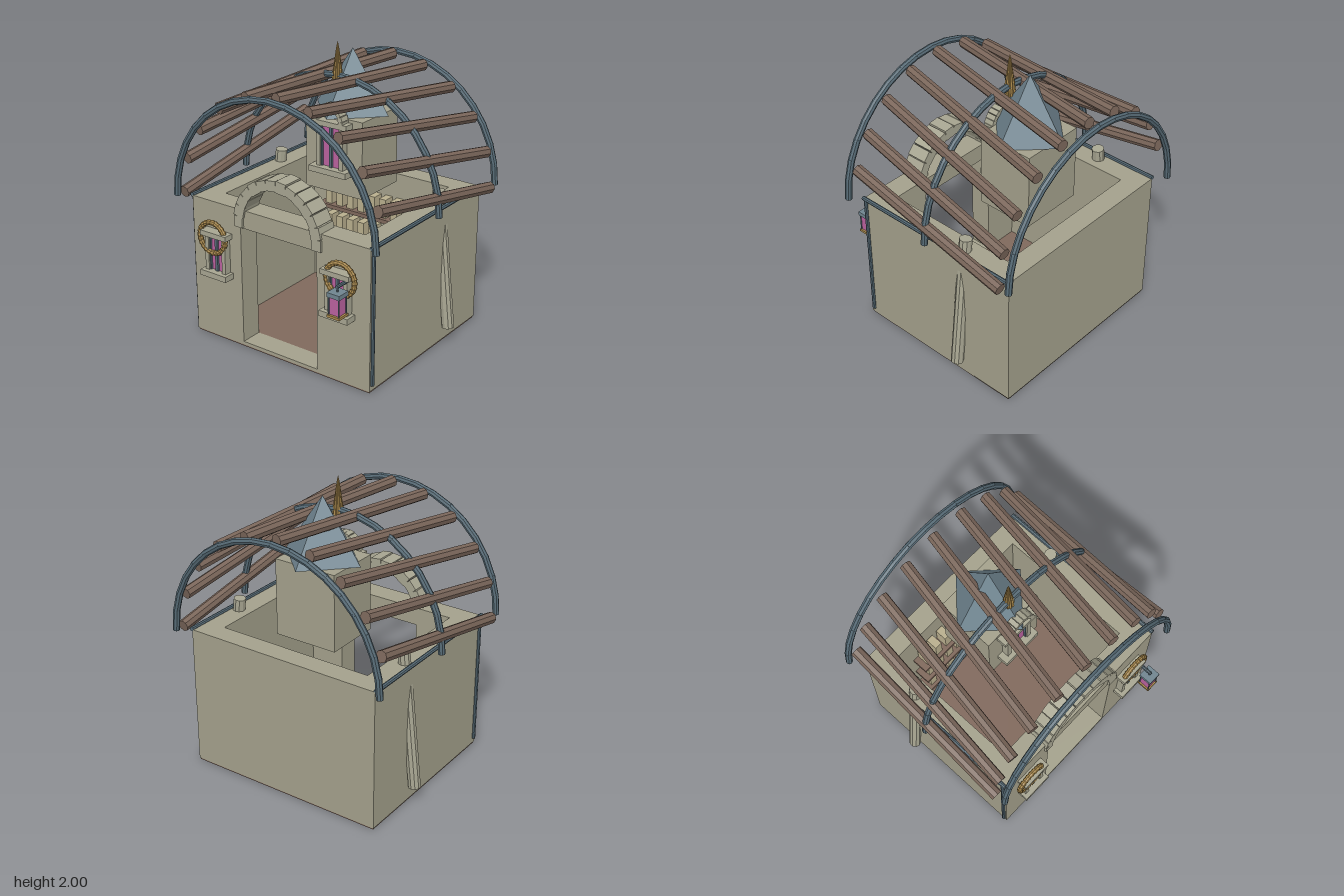
import * as THREE from 'three';

const mat = (color) => new THREE.MeshStandardMaterial({ color, flatShading: true });
const M = {
  wall: mat(0xa4a18c), stone: mat(0xa8a692), wood: mat(0x80695c), log: mat(0x7a665a),
  steel: mat(0x566a75), slate: mat(0x708590), gold: mat(0xa8884c), glass: mat(0xbb62a0), book: mat(0xb9af8e),
};

function add(parent, name, geo, material, x = 0, y = 0, z = 0) {
  const m = new THREE.Mesh(geo, material);
  m.name = name;
  m.position.set(x, y, z);
  parent.add(m);
  return m;
}

// box given by its limits on each axis
function box(parent, name, material, x0, x1, y0, y1, z0, z1) {
  return add(parent, name, new THREE.BoxGeometry(x1 - x0, y1 - y0, z1 - z0), material,
    (x0 + x1) / 2, (y0 + y1) / 2, (z0 + z1) / 2);
}

// straight round bar between two points
function bar(parent, name, material, a, b, r, sides = 8) {
  const p = new THREE.Vector3(...a), q = new THREE.Vector3(...b), d = q.clone().sub(p);
  const m = add(parent, name, new THREE.CylinderGeometry(r, r, d.length(), sides), material);
  m.position.copy(p).add(q).multiplyScalar(0.5);
  m.quaternion.setFromUnitVectors(new THREE.Vector3(0, 1, 0), d.normalize());
  return m;
}

// half ring of wedge-like stones
function stoneArch(parent, name, cy, z, radius, thick, depth, count) {
  const g = new THREE.Group();
  g.name = name;
  for (let i = 0; i < count; i++) {
    const a = (Math.PI * i) / (count - 1);
    const len = (Math.PI * radius) / (count - 1);
    const vary = 1 + 0.1 * Math.sin(i * 2.3);
    const s = add(g, 'archStone', new THREE.BoxGeometry(thick * vary, len * 1.02, depth), M.stone,
      radius * Math.cos(a), cy + radius * Math.sin(a), z);
    s.rotation.z = a;
  }
  parent.add(g);
}

// framed window with sill, lintel, jambs, panes and mullions; z is the wall face
function windowUnit(parent, x, y0, y1, z, half, sillHalf) {
  const g = new THREE.Group();
  g.name = 'window';
  g.position.set(x, 0, z);
  box(g, 'sill', M.stone, -sillHalf, sillHalf, y0 - 0.04, y0, -0.02, 0.08);
  box(g, 'lintel', M.stone, -sillHalf, sillHalf, y1, y1 + 0.035, -0.02, 0.07);
  box(g, 'pane', M.glass, -half, half, y0, y1, -0.02, 0.025);
  for (const s of [-1, 1]) {
    const c = s * (half + 0.015);
    box(g, 'jamb', M.stone, c - 0.015, c + 0.015, y0, y1, -0.02, 0.05);
    box(g, 'frameStile', M.steel, s * half - 0.008, s * half + 0.008, y0, y1, 0, 0.04);
  }
  box(g, 'mullion', M.steel, -0.01, 0.01, y0, y1, 0, 0.04);
  box(g, 'frameRail', M.steel, -half, half, y1 - 0.014, y1, 0, 0.035);
  parent.add(g);
}

export function createModel() {
  const root = new THREE.Group();
  root.name = 'workshop';

  // floor and walls
  box(root, 'baseSlab', M.wood, -0.705, 0.705, 0, 0.02, -0.675, 0.575);
  box(root, 'floor', M.wood, -0.56, 0.56, 0.015, 0.035, -0.54, 0.43);
  box(root, 'backWall', M.wall, -0.71, 0.71, 0.012, 0.985, -0.68, -0.535);
  for (const s of [-1, 1]) {
    const side = box(root, 'sideWall', M.wall, -0.075, 0.075, 0.012, 0.985, -0.535, 0.425);
    side.position.x = s * 0.635;
  }
  const front = new THREE.Shape();
  front.moveTo(-0.71, 0.012).lineTo(0.71, 0.012).lineTo(0.71, 0.985).lineTo(-0.71, 0.985).closePath();
  const door = new THREE.Path();
  door.moveTo(-0.305, 0.035).lineTo(-0.305, 0.86).lineTo(0.305, 0.86).lineTo(0.305, 0.035).closePath();
  front.holes.push(door);
  add(root, 'frontWall', new THREE.ExtrudeGeometry(front, { depth: 0.155, bevelEnabled: false }), M.wall, 0, 0, 0.425);
  stoneArch(root, 'doorArch', 0.905, 0.52, 0.31, 0.072, 0.15, 14);

  // shelves with books along the back wall
  for (const y of [0.205, 0.425, 0.645]) {
    box(root, 'shelf', M.wood, -0.435, 0.435, y, y + 0.028, -0.535, -0.42);
    for (let i = -4; i <= 4; i++) {
      box(root, 'book', M.book, i * 0.091 - 0.027, i * 0.091 + 0.027, y + 0.028, y + 0.165, -0.53, -0.445);
    }
  }

  // tower with pyramid roof and window
  box(root, 'tower', M.wall, -0.225, 0.225, 0.985, 1.51, -0.41, -0.01);
  add(root, 'towerRoof', new THREE.ConeGeometry(0.287, 0.41, 4), M.slate, 0, 1.715, -0.215);
  windowUnit(root, 0, 1.17, 1.455, -0.01, 0.075, 0.148);
  stoneArch(root, 'towerWindowArch', 1.49, 0.025, 0.1, 0.03, 0.07, 11);

  for (const s of [-1, 1]) {
    // front windows with rope rings
    windowUnit(root, s * 0.487, 0.515, 0.76, 0.58, 0.055, 0.108);
    const ring = new THREE.TorusGeometry(0.107, 0.018, 8, 48);
    const p = ring.attributes.position;
    for (let i = 0; i < p.count; i++) {
      const a = Math.atan2(p.getY(i), p.getX(i));
      const cx = 0.107 * Math.cos(a), cy = 0.107 * Math.sin(a);
      const k = 1 + 0.12 * Math.cos(a * 24);
      p.setXYZ(i, cx + (p.getX(i) - cx) * k, cy + (p.getY(i) - cy) * k, p.getZ(i) * k);
    }
    add(root, 'ropeRing', ring, M.gold, s * 0.513, 0.747, 0.62);

    // pipes on the front corners and wall tops
    bar(root, 'cornerPipe', M.steel, [s * 0.715, 0.05, 0.557], [s * 0.715, 0.985, 0.557], 0.013);
    bar(root, 'edgePipe', M.steel, [s * 0.715, 0.988, 0.58], [s * 0.715, 0.988, -0.68], 0.015);

    // leaning posts that pass through the side walls
    bar(root, 'leaningPost', M.stone, [s * 0.752, 0.115, -0.27], [s * 0.645, 1.07, -0.27], 0.042, 10);
  }

  // hanging lantern
  const lantern = new THREE.Group();
  lantern.name = 'lantern';
  lantern.position.set(0.565, 0, 0.718);
  box(lantern, 'lanternGlass', M.glass, -0.036, 0.036, 0.575, 0.69, -0.036, 0.036);
  box(lantern, 'lanternCap', M.slate, -0.047, 0.047, 0.69, 0.72, -0.047, 0.047);
  box(lantern, 'lanternBase', M.gold, -0.047, 0.047, 0.555, 0.572, -0.047, 0.047);
  for (const x of [-0.038, 0.038]) for (const z of [-0.038, 0.038]) {
    bar(lantern, 'lanternPost', M.steel, [x, 0.565, z], [x, 0.7, z], 0.005, 6);
  }
  bar(lantern, 'lanternHook', M.steel, [0, 0.715, 0], [0, 0.755, 0], 0.007, 6);
  bar(lantern, 'lanternArm', M.steel, [0, 0.752, -0.14], [0, 0.752, 0.01], 0.012);
  root.add(lantern);

  // three hoops of short overlapping pipe lengths
  const R = 0.787, baseY = 0.99, hoopSegs = 18;
  const onArc = (a, z) => [R * Math.cos(a), baseY + R * Math.sin(a), z];
  for (const z of [0.64, -0.05, -0.745]) {
    const hoop = new THREE.Group();
    hoop.name = 'roofHoop';
    for (let i = 0; i < hoopSegs; i++) {
      const a = (Math.PI * i) / hoopSegs, e = i < hoopSegs - 1 ? 0.02 : 0;
      bar(hoop, 'hoopPipe', M.steel, onArc(a, z), onArc(a + Math.PI / hoopSegs + e, z), 0.023);
    }
    root.add(hoop);
  }

  // logs laid at a twist, each one step round the arc from front to back
  const step = Math.PI / 10;
  for (let i = 1; i <= 10; i++) {
    bar(root, 'roofLog', M.log, onArc(i * step, 0.575), onArc((i - 1) * step, -0.68), 0.04);
  }

  // fluted finial on the middle hoop
  const profile = [[0, 1.7], [0.028, 1.705], [0.034, 1.74], [0.028, 1.8], [0.018, 1.88], [0.008, 1.96], [0, 2]];
  const finial = new THREE.LatheGeometry(profile.map(([r, y]) => new THREE.Vector2(r, y)), 20);
  const fp = finial.attributes.position;
  for (let i = 0; i < fp.count; i++) {
    const k = 1 + 0.12 * Math.cos(Math.atan2(fp.getZ(i), fp.getX(i)) * 10);
    fp.setXYZ(i, fp.getX(i) * k, fp.getY(i), fp.getZ(i) * k);
  }
  add(root, 'finial', finial, M.gold, 0, 0, -0.05);
  return root;
}
